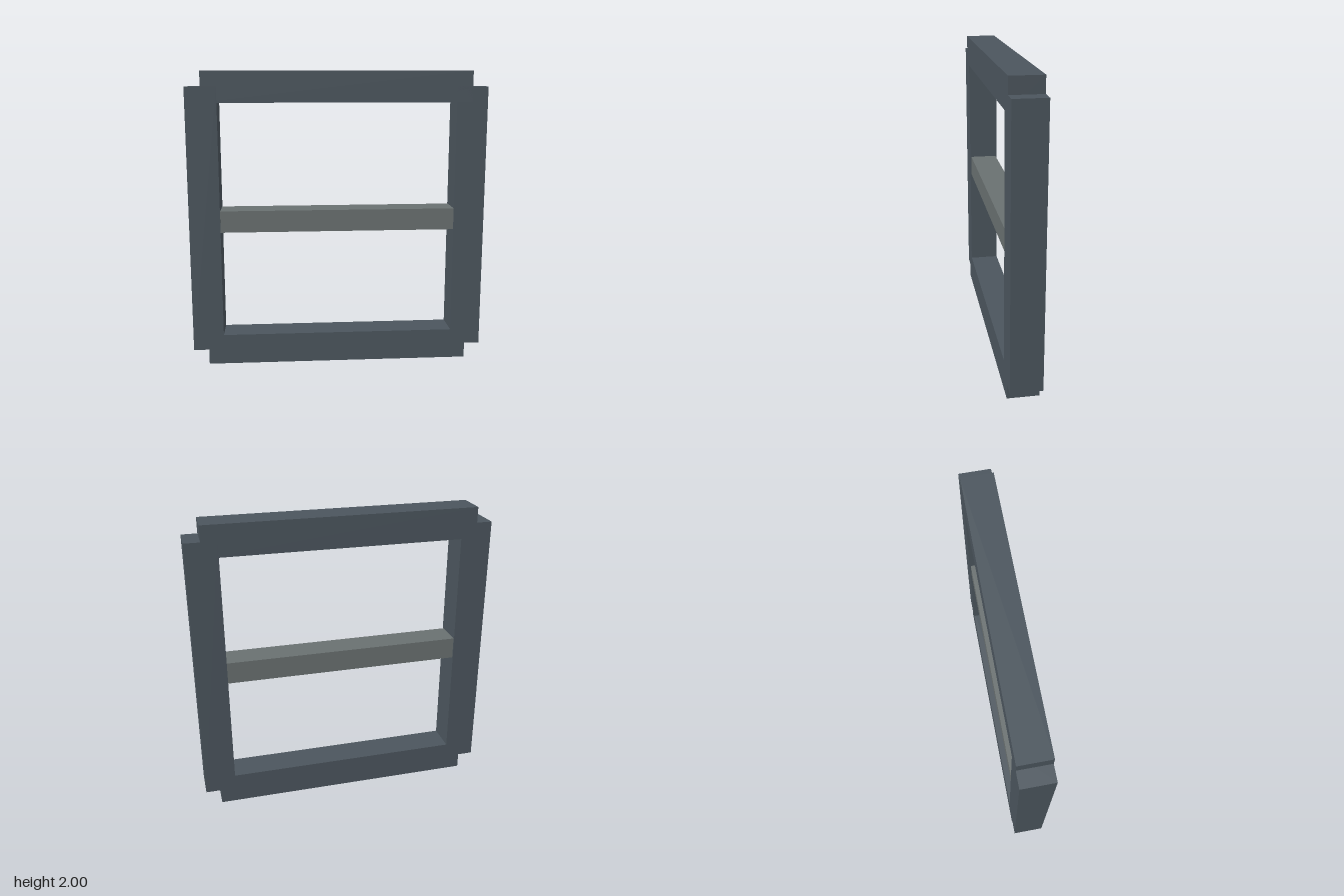
import * as THREE from 'three';

const T = 0.207;          // frame bar thickness
const C = 1 - T / 2;      // distance of each bar's axis from the centre

export function createModel() {
  const group = new THREE.Group();
  const frameMat = new THREE.MeshStandardMaterial({ color: 0x4b555d });
  const barMat = new THREE.MeshStandardMaterial({ color: 0x697070 });

  const box = (name, size, pos, mat) => {
    const mesh = new THREE.Mesh(new THREE.BoxGeometry(...size), mat);
    mesh.name = name;
    mesh.position.set(...pos);
    group.add(mesh);
  };

  // Side posts stop at the rail axes, leaving a square notch at each corner
  box('leftPost', [T, 2 * C, T], [C, 1, 0], frameMat);
  box('rightPost', [T, 2 * C, T], [-C, 1, 0], frameMat);

  // Top and bottom rails stop at the post axes
  box('topRail', [2 * C, T, T], [0, 1 + C, 0], frameMat);
  box('bottomRail', [2 * C, T, T], [0, 1 - C, 0], frameMat);

  // Thinner crossbar between the posts
  box('crossbar', [2 - 2 * T, 0.146, 0.19], [0, 1.002, 0], barMat);

  return group;
}
